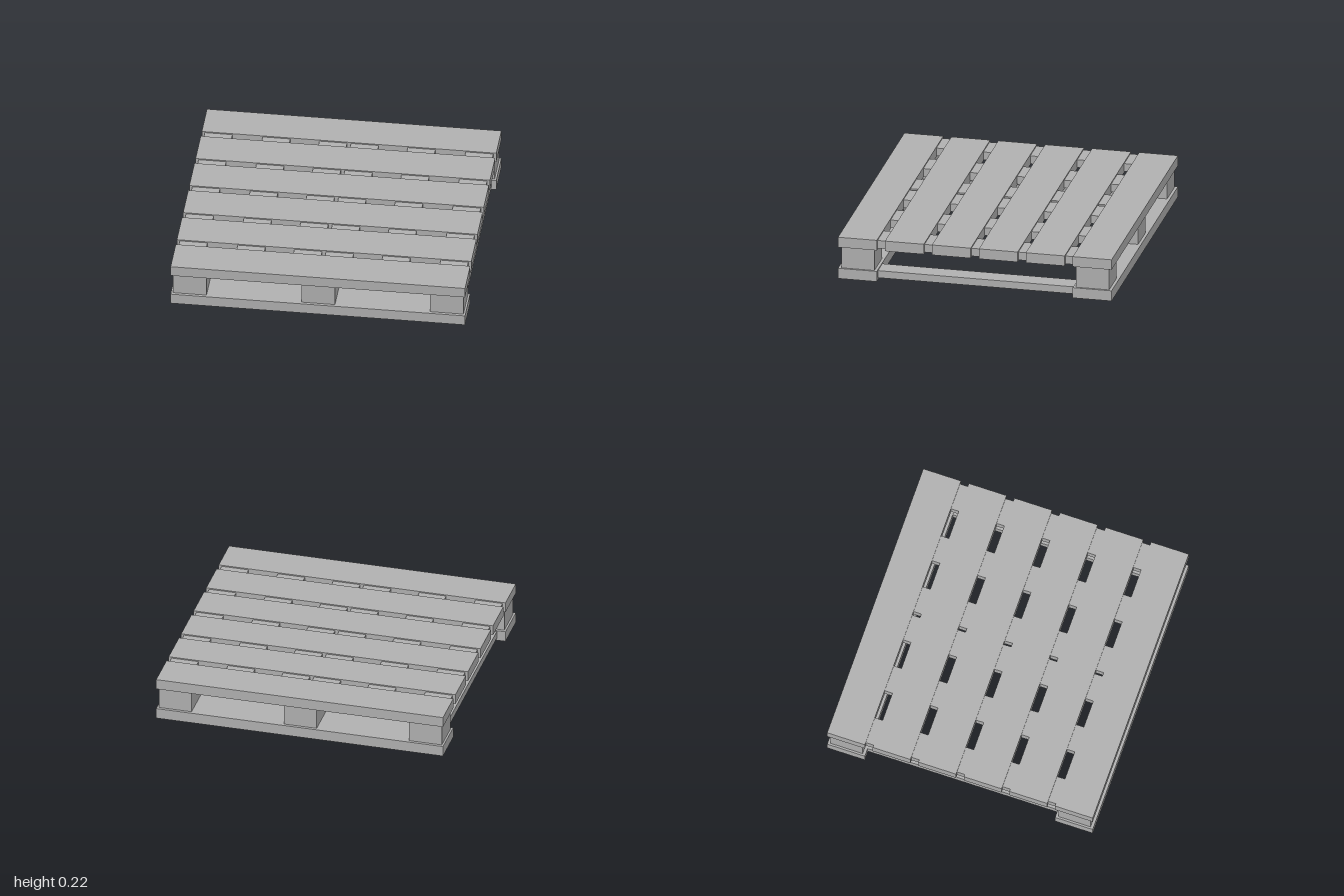
import * as THREE from 'three';

// Shipping pallet, turned 30 degrees about the vertical axis
export function createModel() {
  const model = new THREE.Group();
  model.name = 'pallet';
  const pallet = new THREE.Group();
  pallet.name = 'palletFrame';
  pallet.rotation.y = Math.PI / 6;
  model.add(pallet);

  const grey = new THREE.MeshStandardMaterial({ color: 0xb0b0b0 });
  grey.name = 'grey';

  // Box given by its centre in plan, its size in plan and its bottom and top heights
  const addBox = (name, x, z, width, depth, bottom, top) => {
    const mesh = new THREE.Mesh(new THREE.BoxGeometry(width, top - bottom, depth), grey);
    mesh.name = name;
    mesh.position.set(x, (bottom + top) / 2, z);
    pallet.add(mesh);
  };

  const length = 1.49, slat = 0.2, gap = 0.0417, pitch = slat + gap;
  const outer = 2.5 * pitch;

  // Six deck slats
  for (let i = 0; i < 6; i++) {
    addBox('deckSlat', 0, (i - 2.5) * pitch, length, slat, 0.168, 0.222);
  }

  // Short spacers joining neighbouring slats
  for (let i = -2; i <= 2; i++) {
    for (const x of [-0.66, -0.367, -0.08, 0.08, 0.367, 0.66]) {
      addBox('slatSpacer', x, i * pitch, 0.14, gap, 0.174, 0.216);
    }
  }

  // Bottom runners with three blocks each
  for (const side of [-1, 1]) {
    addBox('bottomRunner', 0, side * outer, length, slat, 0, 0.055);
    for (const x of [-0.65, 0, 0.65]) {
      addBox('block', x, side * outer, 0.17, 0.17, 0.055, 0.168);
    }
  }

  // Cross boards between the runners
  for (const x of [-0.65, 0.67]) {
    addBox('crossBoard', x, 0, 0.1, 2 * outer - slat, 0.012, 0.05);
  }

  return model;
}
